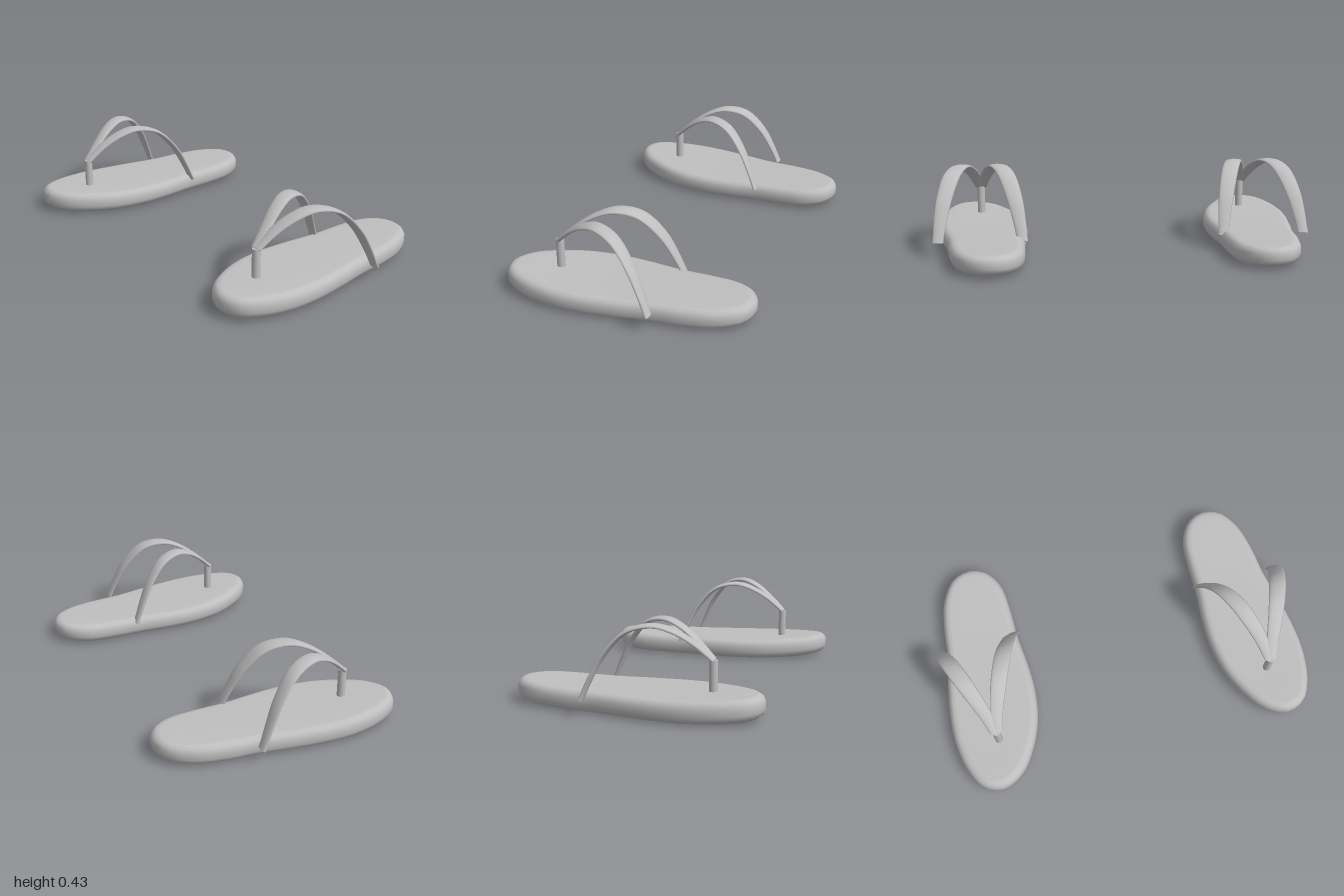
import * as THREE from 'three';

const V = (x, y, z) => new THREE.Vector3(x, y, z);

// Skin a list of closed rings (equal point counts); flip reverses the winding
function loft(rings, flip) {
  const n = rings[0].length, index = [];
  for (let i = 0; i < rings.length - 1; i++) {
    for (let j = 0; j < n; j++) {
      const k = (j + 1) % n;
      const a = i * n + j, b = i * n + k, c = a + n, d = b + n;
      if (flip) index.push(a, c, b, b, c, d);
      else index.push(a, b, c, b, d, c);
    }
  }
  const geo = new THREE.BufferGeometry().setFromPoints(rings.flat());
  geo.setIndex(index);
  geo.computeVertexNormals();
  return geo;
}

// Sole outline (x, z) for the +x shoe: heel, inner side, toe, outer side
const OUTLINE = [
  [0.69, -0.635], [0.6, -0.598], [0.54, -0.5], [0.523, -0.35], [0.52, -0.18],
  [0.503, 0], [0.502, 0.16], [0.53, 0.32], [0.585, 0.45], [0.675, 0.575],
  [0.79, 0.63], [0.89, 0.595], [0.95, 0.49], [0.982, 0.33], [0.98, 0.18],
  [0.955, 0], [0.92, -0.18], [0.902, -0.35], [0.865, -0.5], [0.79, -0.607],
];

const topY = z => 0.105 + (z > 0 ? 0.02 : 0.011) * (z / 0.62) ** 2;
const bottomY = z => 0.018 * (z / 0.63) ** 4;

function soleGeometry(side) {
  const curve = new THREE.CatmullRomCurve3(OUTLINE.map(([x, z]) => V(x, 0, z)), true);
  const count = 72, pts = [], normals = [];
  for (let j = 0; j < count; j++) {
    const t = curve.getTangentAt(j / count);
    pts.push(curve.getPointAt(j / count));
    normals.push(V(t.z, 0, -t.x)); // points inward or outward, fixed below
  }
  // inset d from the edge, pulled by t towards the centre line, at height fraction f
  const ring = (d, t, f) => pts.map((p, j) => {
    const z0 = THREE.MathUtils.clamp(p.z, -0.45, 0.42);
    const centre = V(0.72 + 0.08 * z0, 0, z0);
    const inward = normals[j].clone();
    if (inward.dot(centre.clone().sub(p)) < 0) inward.negate();
    const q = p.clone().addScaledVector(inward, d).lerp(centre, t);
    q.y = THREE.MathUtils.lerp(bottomY(q.z), topY(q.z), f);
    q.x *= side;
    return q;
  });
  return loft([
    ring(0.055, 1, 0), ring(0.055, 0.5, 0), ring(0.055, 0, 0), ring(0.03, 0, 0.03),
    ring(0.01, 0, 0.16), ring(0, 0, 0.36), ring(0, 0, 0.68), ring(0.01, 0, 0.87),
    ring(0.025, 0, 0.97), ring(0.045, 0, 1), ring(0.045, 0.5, 1), ring(0.045, 1, 1),
  ], side < 0);
}

// Strap centre line, from the toe post over the arch to the sole edge
const STRAP = new THREE.CatmullRomCurve3([
  V(0.757, 0.258, 0.375), V(0.78, 0.335, 0.29), V(0.815, 0.395, 0.2), V(0.85, 0.423, 0.11),
  V(0.892, 0.397, 0), V(0.932, 0.29, -0.1), V(0.955, 0.175, -0.16), V(0.968, 0.08, -0.2),
]);
const POST_X = 0.75;

function strapGeometry(side, mirror) {
  const steps = 32, sides = 12, rings = [];
  const place = p => V(side * (POST_X + mirror * (p.x - POST_X)), p.y, p.z);
  for (let i = 0; i <= steps; i++) {
    const u = i / steps, p = STRAP.getPointAt(u), t = STRAP.getTangentAt(u);
    const n = V(0, -t.z, t.y).normalize();
    // narrow at the post, widest over the arch, tapering to the sole
    const half = 0.025 + 0.02 * Math.sin(Math.PI * Math.min(1, u * 1.05)) + 0.004 * u;
    const ring = [];
    for (let j = 0; j < sides; j++) {
      const a = j / sides * Math.PI * 2;
      const q = p.clone().addScaledVector(n, 0.011 * Math.sin(a));
      q.x -= half * Math.cos(a);
      ring.push(place(q));
    }
    rings.push(ring);
  }
  // flat end caps
  const cap = u => Array.from({ length: sides }, () => place(STRAP.getPointAt(u)));
  const copy = r => r.map(p => p.clone());
  const all = [cap(0), copy(rings[0]), ...rings, copy(rings[steps]), cap(1)];
  return loft(all, side * mirror < 0);
}

export function createModel() {
  const model = new THREE.Group();
  model.name = 'pairOfSandals';
  const rubber = new THREE.MeshStandardMaterial({ color: 0xbfbfbf });
  rubber.name = 'greyRubber';

  for (const side of [1, -1]) {
    const sandal = new THREE.Group();
    sandal.name = side > 0 ? 'leftSandal' : 'rightSandal';
    const add = (name, geo) => {
      const mesh = new THREE.Mesh(geo, rubber);
      mesh.name = name;
      sandal.add(mesh);
      return mesh;
    };
    add('sole', soleGeometry(side));
    add('outerStrap', strapGeometry(side, 1));
    add('innerStrap', strapGeometry(side, -1));
    // toe post
    add('toePost', new THREE.CylinderGeometry(0.021, 0.021, 0.165, 16))
      .position.set(side * POST_X, 0.1775, 0.372);
    model.add(sandal);
  }
  return model;
}
